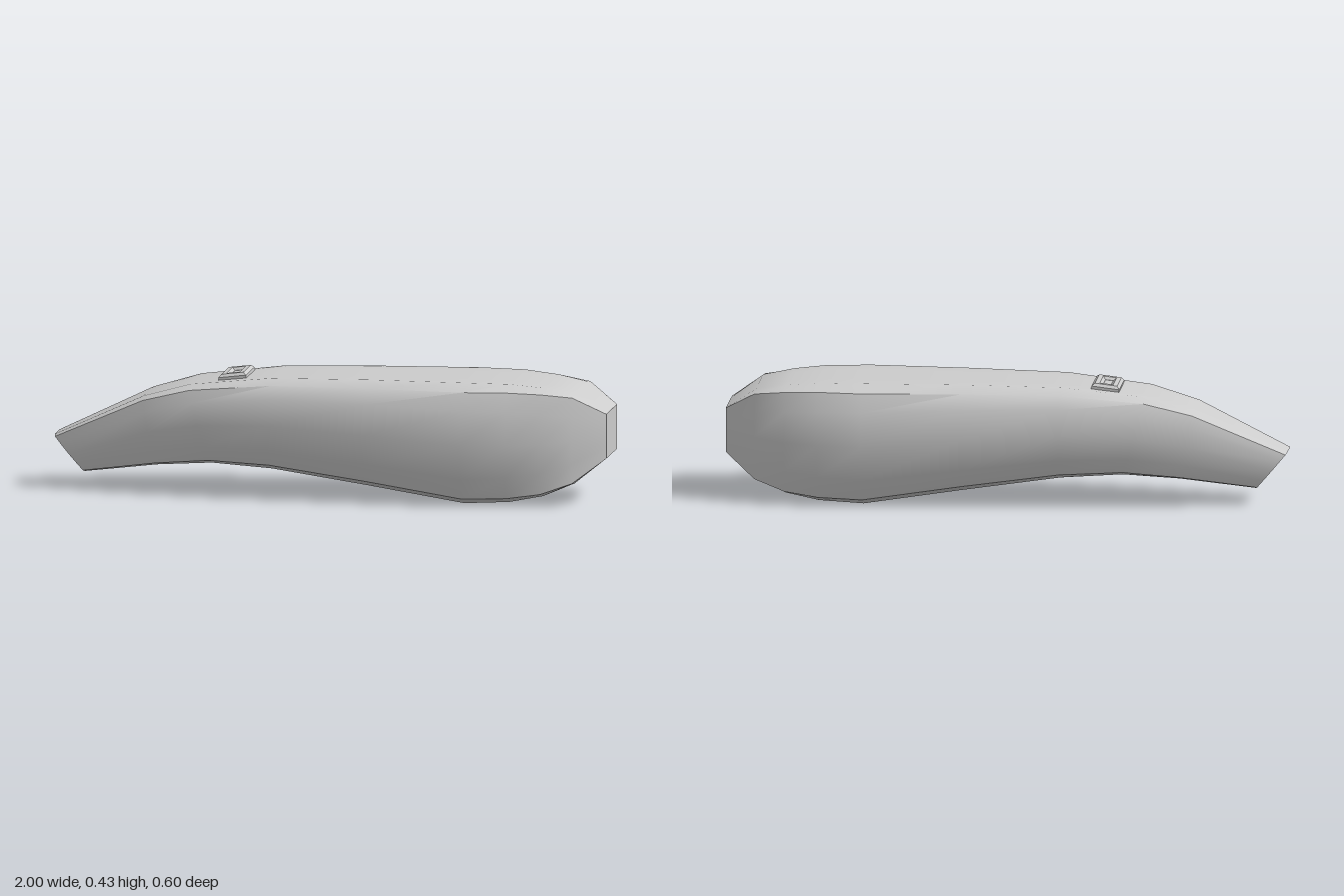
import * as THREE from 'three';
import { toCreasedNormals } from 'three/addons/utils/BufferGeometryUtils.js';

// Half cross-section, top centre to bottom centre: soft form and boxy form
const SOFT = [[0, 1], [0.3, 1], [0.58, 1], [0.8, 0.88], [0.92, 0.6], [1, 0.03], [0.93, -0.54], [0.83, -0.88], [0.62, -1], [0.3, -1], [0, -1]];
const BOXY = [[0, 1], [0.3, 1], [0.7, 1], [1, 1], [1, 0.5], [1, 0], [1, -0.5], [1, -1], [0.7, -1], [0.3, -1], [0, -1]];

// Stations along the body: x at top, x at bottom, top y, bottom y, half width, boxiness
const STATIONS = [
  [-1, -0.89, 0.19, 0.06, 0.085, 0.3],
  [-0.67, -0.62, 0.345, 0.1, 0.172, 0.25],
  [-0.5, -0.42, 0.394, 0.115, 0.208, 0.1],
  [-0.2, -0.2, 0.427, 0.104, 0.25, 0],
  [0.15, 0.15, 0.433, 0.055, 0.274, 0],
  [0.5, 0.5, 0.434, 0.003, 0.301, 0.05],
  [0.66, 0.66, 0.432, 0.01, 0.282, 0.15],
  [0.78, 0.78, 0.42, 0.032, 0.252, 0.35],
  [0.89, 0.89, 0.4, 0.077, 0.21, 0.6],
  [1, 1, 0.325, 0.165, 0.115, 0.95],
];

function sectionRing([xt, xb, top, bottom, w, box]) {
  const half = SOFT.map(([u, v], i) => {
    const s = THREE.MathUtils.lerp(u, BOXY[i][0], box);
    const t = THREE.MathUtils.lerp(v, BOXY[i][1], box) / 2 + 0.5;
    return new THREE.Vector3(xb + (xt - xb) * t, bottom + (top - bottom) * t, s * w);
  });
  const mirrored = half.slice(1, -1).reverse().map((p) => new THREE.Vector3(p.x, p.y, -p.z));
  return [...half, ...mirrored];
}

function loftGeometry(rings) {
  const n = rings[0].length;
  const points = [];
  for (let i = 0; i < rings.length - 1; i++) {
    for (let j = 0; j < n; j++) {
      const k = (j + 1) % n;
      const a = rings[i][j], b = rings[i][k], c = rings[i + 1][j], d = rings[i + 1][k];
      points.push(a, b, c, b, d, c);
    }
  }
  // Flat end faces
  const cap = (ring, flip) => {
    const centre = ring.reduce((s, p) => s.add(p), new THREE.Vector3()).divideScalar(n);
    ring.forEach((p, j) => {
      const q = ring[(j + 1) % n];
      points.push(centre, ...(flip ? [q, p] : [p, q]));
    });
  };
  cap(rings[0], true);
  cap(rings[rings.length - 1], false);
  return toCreasedNormals(new THREE.BufferGeometry().setFromPoints(points), 0.7);
}

function rectangle(target, w, h) {
  target.moveTo(-w / 2, -h / 2);
  target.lineTo(w / 2, -h / 2);
  target.lineTo(w / 2, h / 2);
  target.lineTo(-w / 2, h / 2);
  target.closePath();
  return target;
}

export function createModel() {
  const model = new THREE.Group();
  const shell = new THREE.MeshStandardMaterial({ color: 0xcccccc });
  shell.name = 'lightGrey';

  const add = (parent, name, geometry) => {
    const mesh = new THREE.Mesh(geometry, shell);
    mesh.name = name;
    parent.add(mesh);
    return mesh;
  };

  // Tapering body with a slanted nozzle tip
  add(model, 'body', loftGeometry(STATIONS.map(sectionRing)));

  // Switch on the top: bevelled frame around a sunken button
  const powerSwitch = new THREE.Group();
  powerSwitch.name = 'powerSwitch';
  powerSwitch.position.set(-0.353, 0.408, -0.005);
  powerSwitch.rotation.z = 0.12;
  model.add(powerSwitch);

  const outline = rectangle(new THREE.Shape(), 0.08, 0.164);
  outline.holes.push(rectangle(new THREE.Path(), 0.048, 0.126));
  const frame = new THREE.ExtrudeGeometry(outline, {
    depth: 0.012, bevelEnabled: true, bevelThickness: 0.01, bevelSize: 0.01, bevelOffset: 0, bevelSegments: 1,
  });
  frame.rotateX(-Math.PI / 2);
  add(powerSwitch, 'switchFrame', frame);

  const button = new THREE.BoxGeometry(0.05, 0.022, 0.12);
  add(powerSwitch, 'switchButton', button);

  return model;
}
